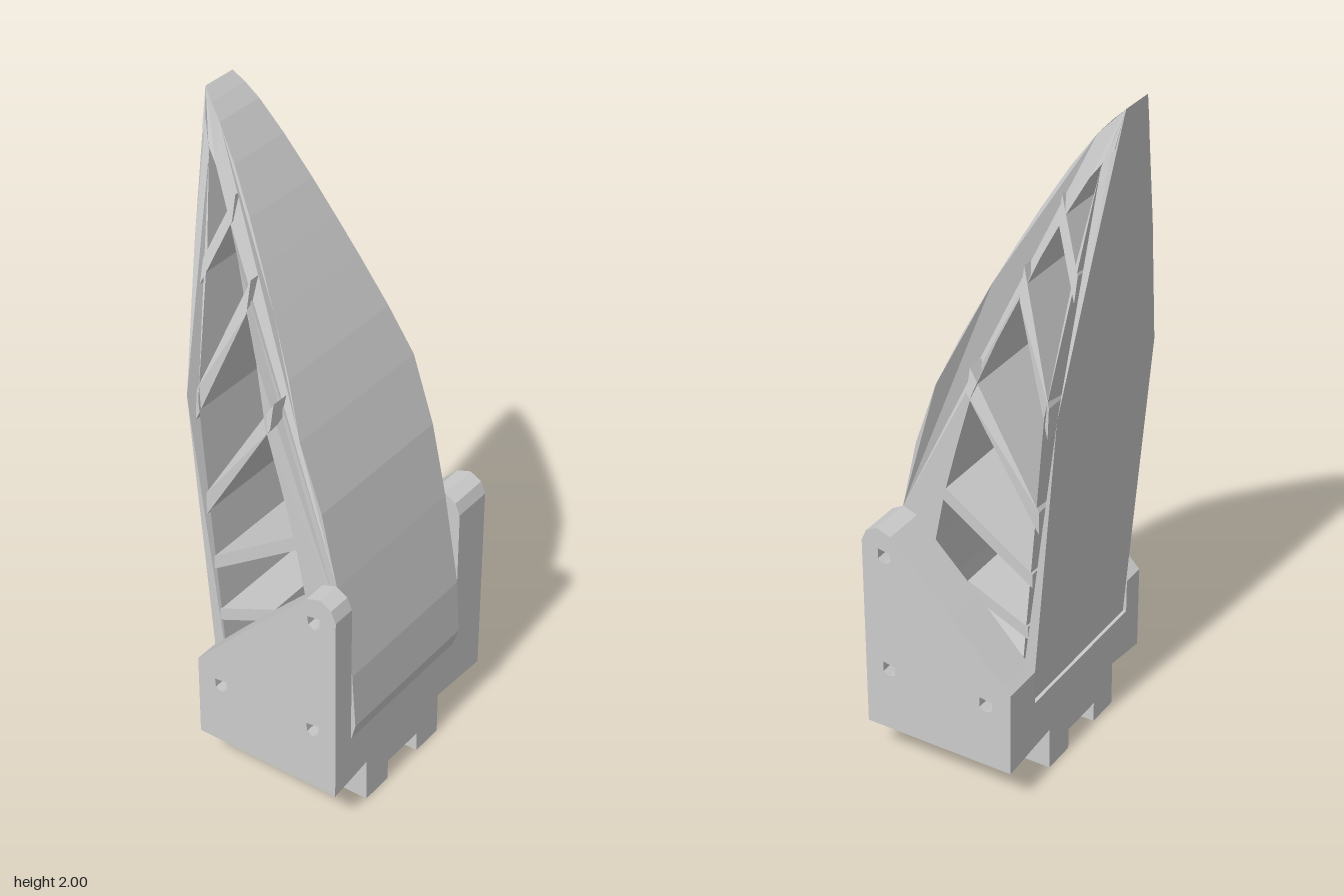
import * as THREE from 'three';

const material = new THREE.MeshStandardMaterial({ color: 0xcccccc, flatShading: true, side: THREE.DoubleSide });

// Left and right limits of the blade at height y: [y, xMin, xMax]
const WIDTHS = [[0.28, -0.285, 0.222], [1.2, -0.29, 0.226], [1.96, -0.112, 0.037], [2, -0.09, 0.02]];

function bladeSpan(y) {
  let i = 0;
  while (i < WIDTHS.length - 2 && y > WIDTHS[i + 1][0]) i++;
  const [y0, a0, b0] = WIDTHS[i], [y1, a1, b1] = WIDTHS[i + 1];
  const t = (y - y0) / (y1 - y0);
  return [a0 + (a1 - a0) * t, b0 + (b1 - b0) * t];
}

const toPoints = (list) => list.map(([a, b]) => new THREE.Vector2(a, b));

// Small five-sided pin hole
const pinHole = ([z, y]) => new THREE.Path(toPoints(
  [[0.018, 0.02], [0.018, -0.012], [0, -0.024], [-0.02, -0.014], [-0.022, 0.014]].map(([a, b]) => [z + a, y + b])));

// Extrudes a (z, y) side profile across x, between limits that may depend on y
function sideSlab(name, profile, span, holes = []) {
  const shape = new THREE.Shape(toPoints(profile));
  shape.holes = holes.map(pinHole);
  const geometry = new THREE.ExtrudeGeometry(shape, { depth: 1, bevelEnabled: false });
  const p = geometry.attributes.position;
  for (let i = 0; i < p.count; i++) {
    const z = p.getX(i), y = p.getY(i), [min, max] = span(y);
    p.setXYZ(i, max + (min - max) * p.getZ(i), y, z);
  }
  geometry.computeVertexNormals();
  const mesh = new THREE.Mesh(geometry, material);
  mesh.name = name;
  return mesh;
}

export function createModel() {
  const model = new THREE.Group();
  model.name = 'bladeInBracket';

  // Base block with two foot rails, one cross-section run from back to front
  const baseShape = new THREE.Shape(toPoints([
    [-0.36, 0.12], [-0.21, 0.14], [-0.21, 0], [-0.105, 0], [-0.105, 0.065], [0.04, 0.065],
    [0.04, 0], [0.145, 0], [0.145, 0.135], [0.355, 0.12], [0.355, 0.28], [-0.36, 0.28]]));
  const base = new THREE.Mesh(
    new THREE.ExtrudeGeometry(baseShape, { depth: 0.47, bevelEnabled: false }), material);
  base.position.z = -0.175;
  base.name = 'base';
  model.add(base);

  // Side plates with pin holes
  const pins = [[0.225, 0.7], [0.22, 0.325], [-0.095, 0.325]];
  const plate = [[0.295, 0.27], [0.295, 0.73], [0.28, 0.765], [0.245, 0.785], [0.2, 0.77],
    [0.01, 0.58], [-0.15, 0.41], [-0.175, 0.385], [-0.175, 0.27]];
  model.add(sideSlab('rightPlate', plate, () => [-0.36, -0.287], pins));
  model.add(sideSlab('leftPlate', plate, () => [0.226, 0.355], pins));

  // Blade: curved front shell, straight back panel and diagonal struts
  const blade = new THREE.Group();
  blade.name = 'blade';
  const outer = [[0.295, 0.28], [0.308, 0.33], [0.297, 0.5], [0.247, 0.78], [0.198, 1], [0.13, 1.2],
    [0.07, 1.35], [0, 1.5], [-0.055, 1.61], [-0.112, 1.72], [-0.18, 1.84], [-0.24, 1.93], [-0.275, 1.97], [-0.305, 2]];
  const inner = [[-0.292, 1.9], [-0.235, 1.82], [-0.175, 1.7], [-0.13, 1.6], [-0.092, 1.5], [-0.035, 1.36],
    [0.02, 1.2], [0.068, 1.03], [0.11, 0.87], [0.142, 0.71], [0.175, 0.5], [0.19, 0.28]];
  blade.add(sideSlab('frontShell', [...outer, ...inner], bladeSpan, pins.slice(0, 2)));
  blade.add(sideSlab('backPanel', [
    [-0.165, 0.28], [-0.182, 0.5], [-0.21, 0.85], [-0.238, 1.2], [-0.272, 1.6], [-0.305, 2],
    [-0.285, 1.93], [-0.262, 1.85], [-0.23, 1.6], [-0.2, 1.2], [-0.172, 0.85], [-0.143, 0.5], [-0.125, 0.28]],
  bladeSpan));

  // Struts: front end, back end, thickness measured vertically
  const struts = [
    [0.04, 0.59, -0.15, 0.505, 0.04],
    [0.13, 0.88, -0.165, 0.68, 0.045],
    [0.035, 1.235, -0.185, 0.87, 0.07],
    [-0.085, 1.52, -0.21, 1.18, 0.09],
    [-0.165, 1.73, -0.24, 1.54, 0.07],
  ];
  struts.forEach(([z0, y0, z1, y1, t], i) => blade.add(sideSlab(`strut${i + 1}`,
    [[z0, y0 + t / 2], [z0, y0 - t / 2], [z1, y1 - t / 2], [z1, y1 + t / 2]], bladeSpan)));
  model.add(blade);

  return model;
}
